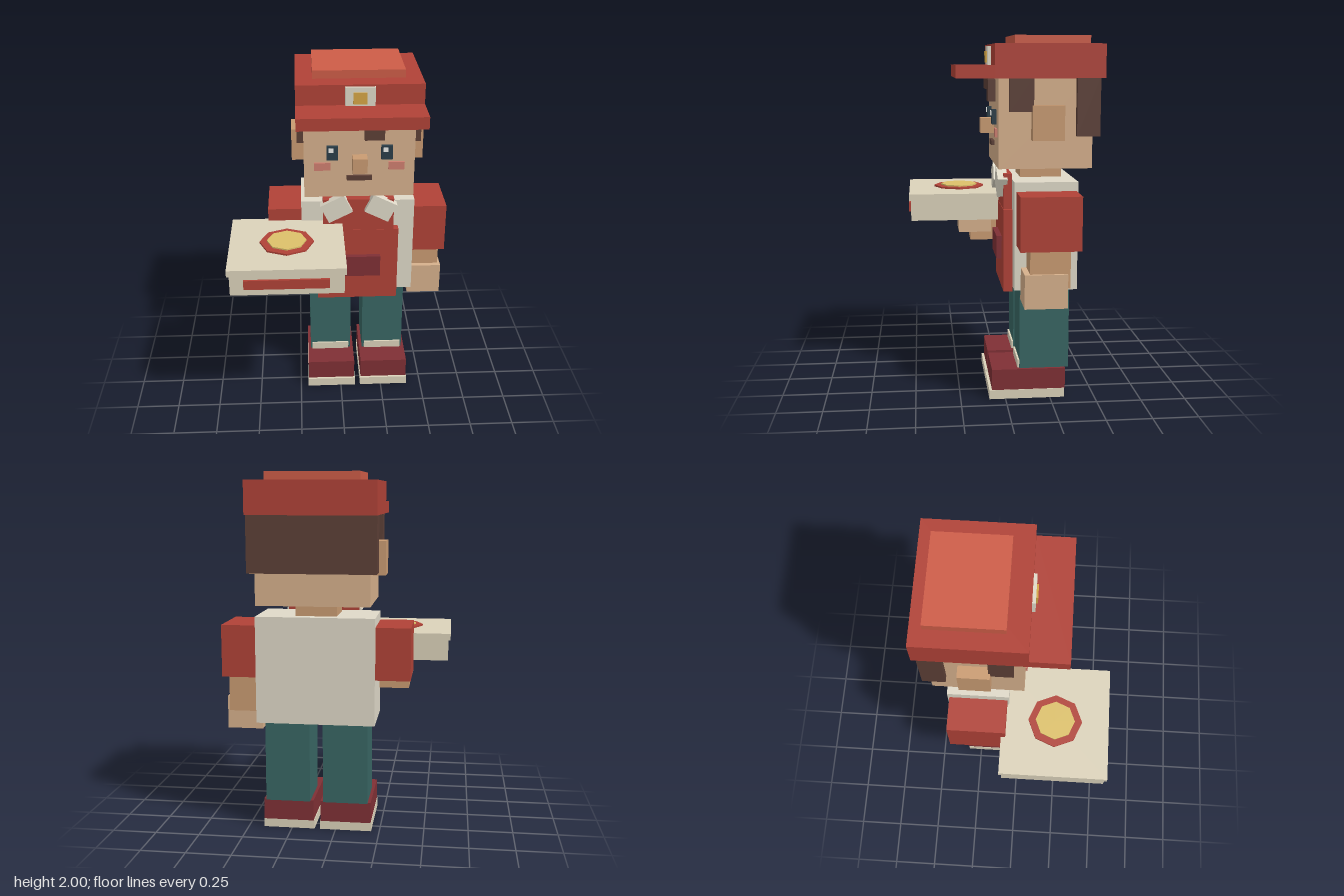
import * as THREE from 'three';

const COLORS = {
  red: 0xb04237, crown: 0xcd5c47, maroon: 0x7f3035, skin: 0xd6b08c, skinDark: 0xc99b72,
  cream: 0xdfd9c8, card: 0xdbd2ba, hair: 0x5c3f36, teal: 0x386663, eye: 0x2a3d48,
  white: 0xeeeeea, cheek: 0xcf7f70, gold: 0xd4a545, cheese: 0xdcc06a,
};
const MID = 0.104; // the figure's own centre line in x

export function createModel() {
  const model = new THREE.Group();
  model.name = 'deliveryFigure';
  const mats = {};
  for (const k in COLORS) mats[k] = new THREE.MeshStandardMaterial({ color: COLORS[k], flatShading: true });

  function group(name) {
    const g = new THREE.Group();
    g.name = name;
    model.add(g);
    return g;
  }
  function add(parent, name, geo, color) {
    const m = new THREE.Mesh(geo, mats[color]);
    m.name = name;
    parent.add(m);
    return m;
  }
  // Box given by its [min, max] range on each axis
  function box(parent, name, color, [x0, x1], [y0, y1], [z0, z1]) {
    const m = add(parent, name, new THREE.BoxGeometry(x1 - x0, y1 - y0, z1 - z0), color);
    m.position.set((x0 + x1) / 2, (y0 + y1) / 2, (z0 + z1) / 2);
    return m;
  }
  // Two boxes mirrored about the centre line; a and b are distances from it
  function pair(parent, name, color, [a, b], y, z) {
    box(parent, name + 'Left', color, [MID + a, MID + b], y, z);
    box(parent, name + 'Right', color, [MID - b, MID - a], y, z);
  }

  // Legs and shoes
  const legs = group('legs');
  pair(legs, 'trouserLeg', 'teal', [0.037, 0.288], [0.17, 0.64], [-0.355, -0.08]);
  pair(legs, 'sock', 'card', [0.05, 0.278], [0.17, 0.215], [-0.1, -0.07]);
  pair(legs, 'shoe', 'maroon', [0.02, 0.305], [0.05, 0.17], [-0.335, 0.075]);
  pair(legs, 'sole', 'card', [0.016, 0.308], [0, 0.052], [-0.33, 0.09]);

  // Torso with apron and collar
  const body = group('body');
  box(body, 'torso', 'cream', [-0.225, 0.434], [0.63, 1.225], [-0.39, -0.045]);
  box(body, 'apron', 'red', [-0.135, 0.34], [0.6, 1.06], [-0.045, 0.005]);
  box(body, 'apronBib', 'red', [-0.1, 0.31], [1.06, 1.255], [-0.045, 0.003]);
  box(body, 'apronPocket', 'maroon', [-0.025, 0.235], [0.765, 0.895], [0.005, 0.035]);
  box(body, 'neck', 'skinDark', [-0.01, 0.218], [1.22, 1.3], [-0.33, -0.1]);
  for (const s of [-1, 1]) {
    const flap = add(body, s < 0 ? 'collarRight' : 'collarLeft', new THREE.BoxGeometry(0.152, 0.116, 0.055), 'cream');
    flap.position.set(MID + s * 0.128, 1.21, 0.008);
    flap.rotation.z = -s * 0.465;
  }

  // Arms: one hanging, one bent forward to carry
  const arms = group('arms');
  pair(arms, 'sleeve', 'red', [0.33, 0.522], [0.885, 1.175], [-0.38, -0.055]);
  box(arms, 'forearmLeft', 'skinDark', [0.435, 0.6], [0.68, 0.89], [-0.325, -0.11]);
  box(arms, 'handLeft', 'skin', [0.415, 0.615], [0.575, 0.76], [-0.31, -0.08]);
  box(arms, 'forearmRight', 'skinDark', [-0.395, -0.22], [0.78, 0.94], [-0.08, 0.155]);
  box(arms, 'handRight', 'skin', [-0.407, -0.212], [0.83, 0.95], [0.03, 0.225]);

  // Head and face
  const head = group('head');
  box(head, 'skull', 'skin', [-0.205, 0.413], [1.295, 1.8], [-0.465, 0.04]);
  pair(head, 'ear', 'skinDark', [0.3, 0.377], [1.45, 1.635], [-0.305, -0.135]);
  pair(head, 'eye', 'eye', [0.12, 0.183], [1.525, 1.605], [0.03, 0.064]);
  for (const x of [-0.068, 0.235]) box(head, 'eyeGlint', 'white', [x, x + 0.026], [1.572, 1.598], [0.05, 0.07]);
  pair(head, 'cheek', 'cheek', [0.162, 0.252], [1.46, 1.505], [0.03, 0.052]);
  box(head, 'nose', 'skinDark', [0.063, 0.145], [1.465, 1.55], [0.03, 0.115]);
  box(head, 'mouth', 'hair', [0.034, 0.175], [1.4, 1.427], [0.03, 0.058]);

  // Hair
  const hair = group('hair');
  box(hair, 'backHair', 'hair', [-0.242, 0.45], [1.47, 1.79], [-0.5, -0.375]);
  pair(hair, 'sideburn', 'hair', [0.3, 0.346], [1.6, 1.79], [-0.145, -0.015]);
  box(hair, 'fringe', 'hair', [-0.185, 0.165], [1.705, 1.78], [0.03, 0.075]);
  box(hair, 'fringeLock', 'hair', [0.13, 0.24], [1.645, 1.765], [0.03, 0.08]);

  // Cap
  const cap = group('cap');
  box(cap, 'capBand', 'red', [-0.244, 0.452], [1.775, 1.955], [-0.525, 0.06]);
  box(cap, 'capBrim', 'red', [-0.244, 0.452], [1.775, 1.843], [0.06, 0.265]);
  box(cap, 'capCrown', 'crown', [-0.15, 0.357], [1.95, 2], [-0.46, -0.052]);
  box(cap, 'badge', 'cream', [0.023, 0.185], [1.84, 1.945], [0.05, 0.078]);
  box(cap, 'badgeCentre', 'gold', [0.065, 0.14], [1.855, 1.918], [0.07, 0.088]);

  // Carried food box
  const carton = group('foodBox');
  box(carton, 'boxBase', 'card', [-0.615, 0], [0.945, 1.065], [-0.068, 0.512]);
  box(carton, 'boxLid', 'card', [-0.628, 0.012], [1.063, 1.102], [-0.08, 0.522]);
  box(carton, 'boxStripe', 'red', [-0.54, -0.08], [0.985, 1.04], [0.5, 0.525]);
  for (const [name, color, r, top] of [['discRim', 'red', 0.151, 1.112], ['discCentre', 'cheese', 0.11, 1.12]]) {
    const disc = add(carton, name, new THREE.CylinderGeometry(r, r, 0.02, 8), color);
    disc.position.set(-0.309, top - 0.01, 0.22);
  }

  return model;
}
